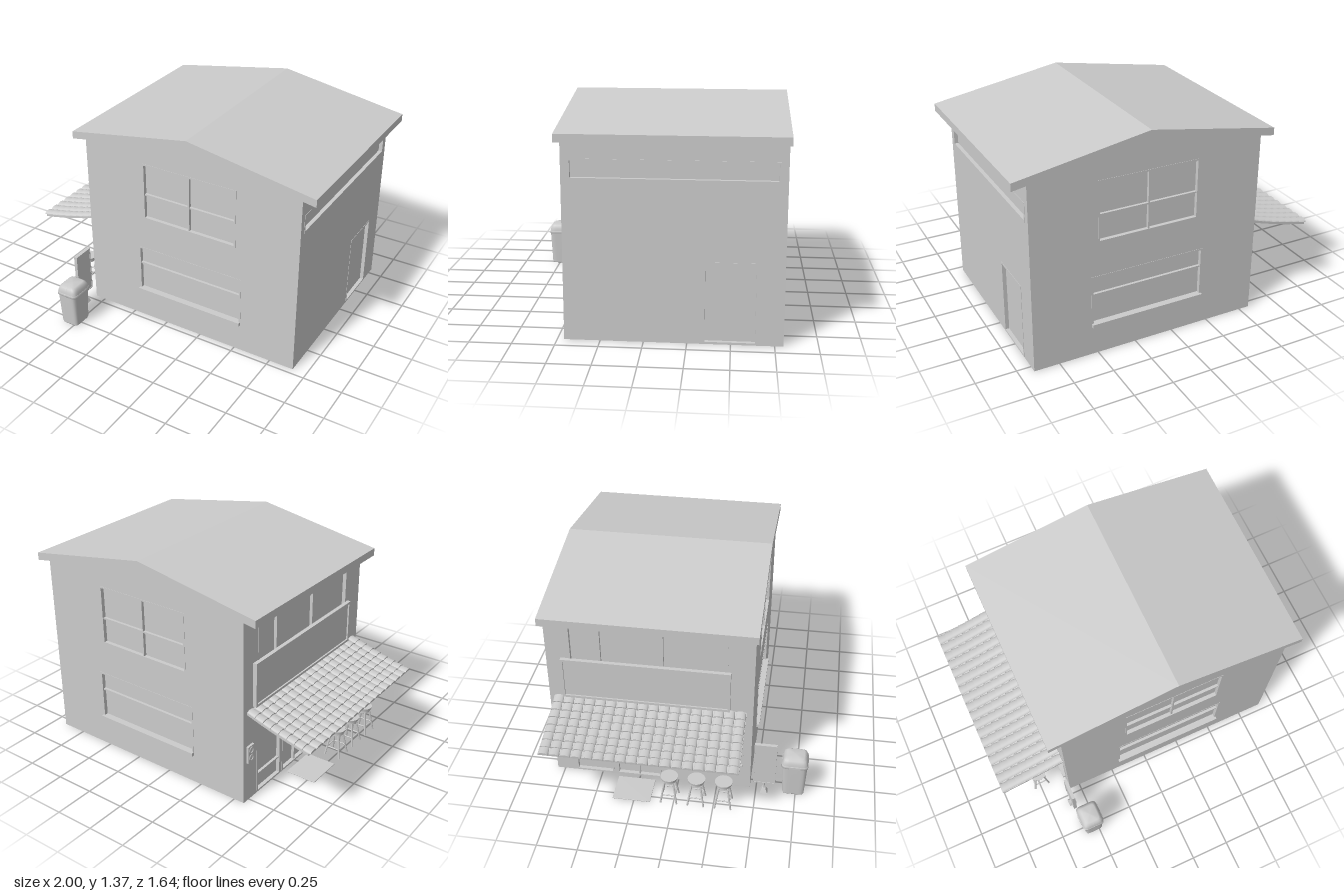
import * as THREE from 'three';
import { mergeGeometries } from 'three/addons/utils/BufferGeometryUtils.js';
import { RoundedBoxGeometry } from 'three/addons/geometries/RoundedBoxGeometry.js';

const mat = new THREE.MeshStandardMaterial({ color: 0xcccccc, side: THREE.DoubleSide });

function add(parent, name, geo, x = 0, y = 0, z = 0) {
  const m = new THREE.Mesh(geo, mat);
  m.name = name;
  m.position.set(x, y, z);
  parent.add(m);
  return m;
}

// box given by its two opposite corners
function box(parent, name, x0, x1, y0, y1, z0, z1) {
  return add(parent, name, new THREE.BoxGeometry(x1 - x0, y1 - y0, z1 - z0),
    (x0 + x1) / 2, (y0 + y1) / 2, (z0 + z1) / 2);
}

const polygon = (pts, Type = THREE.Shape) => new Type(pts.map(p => new THREE.Vector2(...p)));
const rect = (u0, u1, v0, v1, Type) => polygon([[u0, v0], [u1, v0], [u1, v1], [u0, v1]], Type);

// rectangular frame, its front at depth w1 and its back at w0
function frame(parent, name, [u0, u1, v0, v1], t, w0, w1) {
  const s = rect(u0, u1, v0, v1);
  s.holes.push(rect(u0 + t, u1 - t, v0 + t, v1 - t, THREE.Path));
  add(parent, name, new THREE.ExtrudeGeometry(s, { depth: w1 - w0, bevelEnabled: false }), 0, 0, w0);
}

// thin wall with recessed openings: u runs right, v up, w outward
function wall(parent, name, outline, openings) {
  const g = new THREE.Group();
  g.name = name;
  parent.add(g);
  const s = polygon(outline);
  for (const o of openings) {
    const [u0, u1, v0, v1] = o.r;
    s.holes.push(rect(u0, u1, v0, v1, THREE.Path));
    frame(g, o.name + 'Frame', o.r, 0.011, -0.025, 0.002);
    box(g, o.name + 'Pane', u0, u1, v0, v1, -0.025, -0.022);
    for (const u of o.mullions ?? []) box(g, o.name + 'Mullion', u - 0.005, u + 0.005, v0, v1, -0.022, -0.003);
    for (const v of o.rails ?? []) box(g, o.name + 'Rail', u0, u1, v - 0.005, v + 0.005, -0.022, -0.005);
    if (o.sill) box(g, o.name + 'Sill', u0, u1, v0, v0 + 0.022, -0.022, 0.02);
  }
  add(g, name + 'Surface', new THREE.ShapeGeometry(s));
  return g;
}

// cylinder between two points
function rod(parent, name, a, b, r) {
  const p = new THREE.Vector3(...a), q = new THREE.Vector3(...b), d = q.clone().sub(p);
  const m = add(parent, name, new THREE.CylinderGeometry(r, r, d.length(), 8));
  m.position.copy(p).lerp(q, 0.5);
  m.quaternion.setFromUnitVectors(new THREE.Vector3(0, 1, 0), d.normalize());
}

// lathe whose round section is pushed out to a rounded square
function squareLathe(profile, depthRatio) {
  const geo = new THREE.LatheGeometry(profile.map(p => new THREE.Vector2(...p)), 40);
  const p = geo.attributes.position;
  for (let i = 0; i < p.count; i++) {
    const x = p.getX(i), z = p.getZ(i), r = Math.hypot(x, z);
    if (r < 1e-6) continue; // points on the axis stay put
    const k = ((Math.abs(x) / r) ** 7 + (Math.abs(z) / r) ** 7) ** (-1 / 7);
    p.setX(i, x * k);
    p.setZ(i, z * k * depthRatio);
  }
  geo.computeVertexNormals();
  return geo;
}

function makeBuilding() {
  const g = new THREE.Group();
  g.name = 'building';

  // gabled front and back walls share one window layout, mirrored
  for (const s of [1, -1]) {
    const span = (a, b) => s > 0 ? [a, b] : [-b, -a];
    const outline = [[-0.57, 0], [0.91, 0], [0.91, 1.189], [0.17, 1.315], [-0.57, 1.189]].map(([u, v]) => [u * s, v]);
    const w = wall(g, s > 0 ? 'frontWall' : 'backWall', outline, [
      { name: 'upperWindow', r: [...span(-0.155, 0.495), 0.74, 1.125], mullions: [0.17 * s], rails: [0.91] },
      { name: 'lowerWindow', r: [...span(-0.2, 0.54), 0.19, 0.525], rails: [0.4], sill: true },
    ]);
    w.position.z = s > 0 ? 0.46 : -0.8;
    w.rotation.y = s > 0 ? 0 : Math.PI;
  }

  // side wall with plain door and long high window
  const side = wall(g, 'leftWall', [[-0.46, 0], [0.8, 0], [0.8, 1.189], [-0.46, 1.189]], [
    { name: 'sideDoor', r: [0.34, 0.65, 0.003, 0.49] },
    { name: 'highWindow', r: [-0.42, 0.76, 0.95, 1.07] },
  ]);
  side.position.x = 0.91;
  side.rotation.y = Math.PI / 2;

  // shop facade under the awning
  const shop = wall(g, 'shopWall', [[-0.8, 0], [0.46, 0], [0.46, 1.189], [-0.8, 1.189]], [
    { name: 'upperWindow', r: [-0.66, 0.3, 0.84, 1.13], mullions: [-0.47, -0.09] },
    { name: 'counterWindow', r: [-0.08, 0.41, 0.17, 0.49], mullions: [0.16], rails: [0.4], sill: true },
    { name: 'shopDoor', r: [-0.4, -0.11, 0.003, 0.5], mullions: [-0.255] },
    { name: 'shopPanel', r: [-0.67, -0.42, 0.003, 0.5], rails: [0.12] },
  ]);
  shop.position.x = -0.57;
  shop.rotation.y = -Math.PI / 2;

  // blank board above the awning
  box(shop, 'fasciaBoard', -0.7, 0.31, 0.63, 0.89, 0, 0.015);
  frame(shop, 'fasciaFrame', [-0.71, 0.32, 0.62, 0.9], 0.015, 0, 0.025);

  // wall meter near the back corner
  box(shop, 'meterBox', -0.775, -0.715, 0.27, 0.38, 0, 0.015);
  for (const v of [0.3, 0.35]) add(shop, 'meterRing', new THREE.TorusGeometry(0.018, 0.004, 6, 16), -0.745, v, 0.015);

  // chevron roof slab
  const roof = polygon([[-0.655, 1.175], [0.17, 1.315], [1, 1.175], [1, 1.223], [0.17, 1.365], [-0.655, 1.223]]);
  add(g, 'roof', new THREE.ExtrudeGeometry(roof, { depth: 1.29, bevelEnabled: false }), 0, 0, -0.81);
  return g;
}

function makeAwning() {
  const g = new THREE.Group();
  g.name = 'awning';
  const height = x => { const t = (x + 1) / 0.43; return 0.479 + 0.085 * t + 0.03 * t * t; };

  // curved base slab
  const xs = Array.from({ length: 9 }, (_, i) => -0.985 + i * 0.415 / 8);
  const top = xs.map(x => [x, height(x) + 0.015]).reverse();
  const s = polygon([...xs.map(x => [x, height(x)]), ...top]);
  add(g, 'awningBase', new THREE.ExtrudeGeometry(s, { depth: 1.19, bevelEnabled: false }), 0, 0, -0.77);

  // overlapping half-round tiles
  const rows = 8, cols = 18, pitch = 1.19 / cols, step = 0.425 / rows, tiles = [];
  for (let i = 0; i < rows; i++) {
    const x = -0.995 + (i + 0.5) * step;
    const slope = Math.atan2(height(x + 0.02) - height(x - 0.02), 0.04);
    for (let j = 0; j < cols; j++) {
      const t = new THREE.CylinderGeometry(pitch * 0.5, pitch * 0.44, step * 1.06, 10, 1, false, 0, Math.PI);
      t.rotateZ(Math.PI / 2).scale(1, 0.5, 1).rotateZ(slope - 0.1);
      tiles.push(t.translate(x, height(x) + 0.012, -0.77 + (j + 0.5) * pitch));
    }
  }
  add(g, 'awningTiles', mergeGeometries(tiles));
  return g;
}

function makeStool(z) {
  const g = new THREE.Group();
  g.name = 'stool';
  add(g, 'seat', new THREE.CylinderGeometry(0.055, 0.052, 0.016, 24), 0, 0.18, 0);
  add(g, 'seatSupport', new THREE.CylinderGeometry(0.04, 0.04, 0.022, 20), 0, 0.161, 0);
  // splayed legs with cross rails
  for (let i = 0; i < 4; i++) {
    const at = (k, r, y) => [Math.cos((k + 0.5) * Math.PI / 2) * r, y, Math.sin((k + 0.5) * Math.PI / 2) * r];
    rod(g, 'leg', at(i, 0.038, 0.155), at(i, 0.072, 0.002), 0.006);
    rod(g, 'rail', at(i, 0.059, 0.06), at(i + 1, 0.059, 0.06), 0.004);
  }
  g.position.set(-0.74, 0, z);
  return g;
}

function makeBin() {
  const g = new THREE.Group();
  g.name = 'bin';
  add(g, 'binBody', squareLathe([[0, 0], [0.058, 0], [0.06, 0.006], [0.069, 0.23]], 1.14));
  add(g, 'binRim', squareLathe([[0.067, 0.222], [0.074, 0.222], [0.074, 0.24], [0.067, 0.24]], 1.12));
  add(g, 'binLid', squareLathe([[0.071, 0.238], [0.069, 0.258], [0.061, 0.278], [0.048, 0.288], [0, 0.29]], 1.12));
  box(g, 'binHandle', -0.078, -0.07, 0.225, 0.24, -0.035, 0.035);
  g.position.set(-0.535, 0, 0.735);
  return g;
}

function makeStandingBoard() {
  const g = new THREE.Group();
  g.name = 'standingBoard';
  box(g, 'boardPanel', -0.008, 0.008, 0.085, 0.385, -0.065, 0.065);
  const edge = new THREE.Group();
  edge.name = 'boardEdge';
  edge.rotation.y = Math.PI / 2;
  frame(edge, 'boardFrame', [-0.07, 0.07, 0.08, 0.39], 0.006, -0.011, 0.011);
  g.add(edge);
  add(g, 'boardPost', new THREE.CylinderGeometry(0.006, 0.006, 0.06, 10), 0, 0.06, 0);
  const foot = new THREE.CylinderGeometry(0.016, 0.036, 0.036, 4).rotateY(Math.PI / 4).toNonIndexed();
  foot.computeVertexNormals();
  add(g, 'boardFoot', foot, 0, 0.018, 0);
  g.position.set(-0.595, 0, 0.55);
  return g;
}

export function createModel() {
  const model = new THREE.Group();
  model.name = 'shopHouse';
  model.add(makeBuilding(), makeAwning(), makeBin(), makeStandingBoard());
  for (const z of [-0.03, 0.14, 0.31]) model.add(makeStool(z));
  // door mat
  add(model, 'doorMat', new RoundedBoxGeometry(0.2, 0.006, 0.24, 1, 0.002), -0.7, 0.003, -0.266);
  return model;
}
